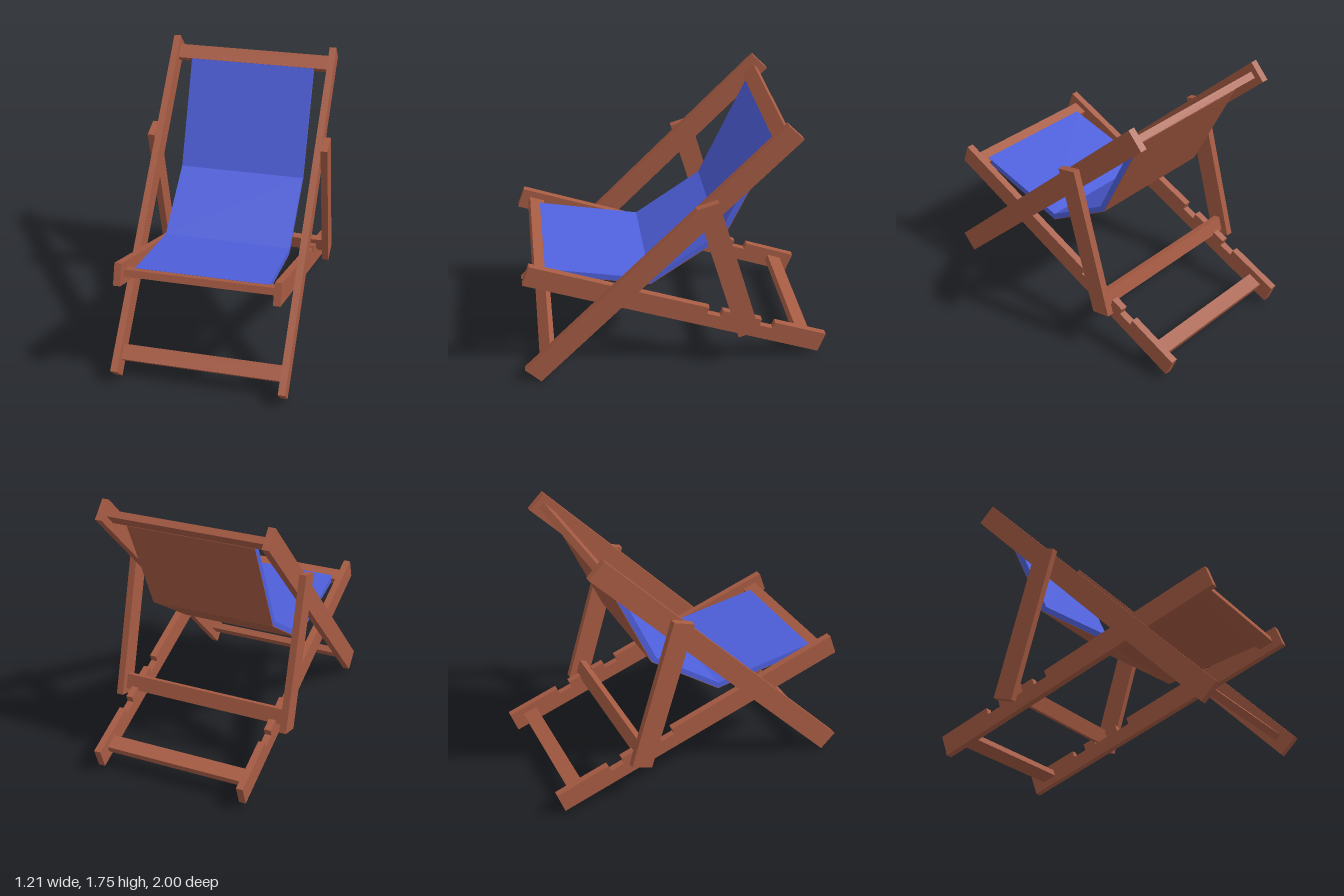
import * as THREE from 'three';

const wood = new THREE.MeshStandardMaterial({ color: 0xa65b43 });
const cloth = new THREE.MeshStandardMaterial({ color: 0x4f60dc });
const T = 0.045; // timber thickness
const BACK = -Math.PI / 4; // lean of the back frame
const SEAT = THREE.MathUtils.degToRad(70); // lean of the seat frame
const PROP = THREE.MathUtils.degToRad(16.35); // lean of the props

// Straight timber: size along x, along its lean, and across; lean is measured from y towards +z
function beam(name, size, pos, lean) {
  const mesh = new THREE.Mesh(new THREE.BoxGeometry(...size), wood);
  mesh.name = name;
  mesh.position.set(...pos);
  mesh.rotation.x = lean;
  return mesh;
}

// Side profile of [z, y] points, extruded to a width centred on x = 0
function profile(name, points, width, material) {
  const shape = new THREE.Shape(points.map(([z, y]) => new THREE.Vector2(z, y)));
  const geo = new THREE.ExtrudeGeometry(shape, { depth: width, bevelEnabled: false });
  geo.translate(0, 0, -width / 2).rotateY(-Math.PI / 2);
  const mesh = new THREE.Mesh(geo, material);
  mesh.name = name;
  return mesh;
}

// Seat rail outline with three notches in its upper edge
function seatRailOutline() {
  const l = 1.027, h = 0.071, depth = 0.047;
  const points = [[-l, -h], [l, -h], [l, h]];
  for (let i = 0; i < 3; i++) {
    const s = -0.186 * (i + 1);
    points.push([s, h], [s, h - depth], [s - 0.097, h - depth], [s - 0.097, h]);
  }
  points.push([-l, h]);
  return points;
}

export function createModel() {
  const group = new THREE.Group();
  group.name = 'deckChair';

  // Paired side timbers
  for (const [label, s] of [['left', 1], ['right', -1]]) {
    group.add(beam(label + 'BackRail', [T, 2.333, 0.1414], [s * 0.5375, 0.875, 0.125], BACK));
    group.add(beam(label + 'Prop', [T, 1.021, 0.142], [s * 0.5825, 0.77, -0.313], PROP));
    const rail = profile(label + 'SeatRail', seatRailOutline(), T, wood);
    rail.position.set(s * 0.4925, 0.445, -0.01);
    rail.rotation.x = SEAT - Math.PI / 2;
    group.add(rail);
  }

  // Crossbars
  group.add(beam('topCrossbar', [1.03, 0.1, T], [0, 1.635, -0.635], BACK));
  group.add(beam('bottomCrossbar', [1.03, 0.1, T], [0, 0.15, 0.85], BACK));
  group.add(beam('seatFrontCrossbar', [0.94, 0.1, T], [0, 0.762, 0.855], SEAT));
  group.add(beam('seatRearCrossbar', [0.94, 0.1, T], [0, 0.14, -0.85], SEAT));
  group.add(beam('propCrossbar', [1.12, 0.1, T], [0, 0.365, -0.435], PROP));

  // Slung fabric with a brown underside
  const upper = [[0.83, 0.778], [0.163, 0.648], [-0.275, 0.945], [-0.585, 1.615]];
  const lower = [[0.83, 0.738], [0.163, 0.607], [-0.307, 0.925], [-0.615, 1.585]];
  const under = lower.map(([z, y]) => [z - 0.002, y - 0.003]);
  group.add(profile('fabricSling', [...upper, ...[...lower].reverse()], 0.84, cloth));
  group.add(profile('fabricUnderside', [...lower, ...under.reverse()], 0.84, wood));

  return group;
}
